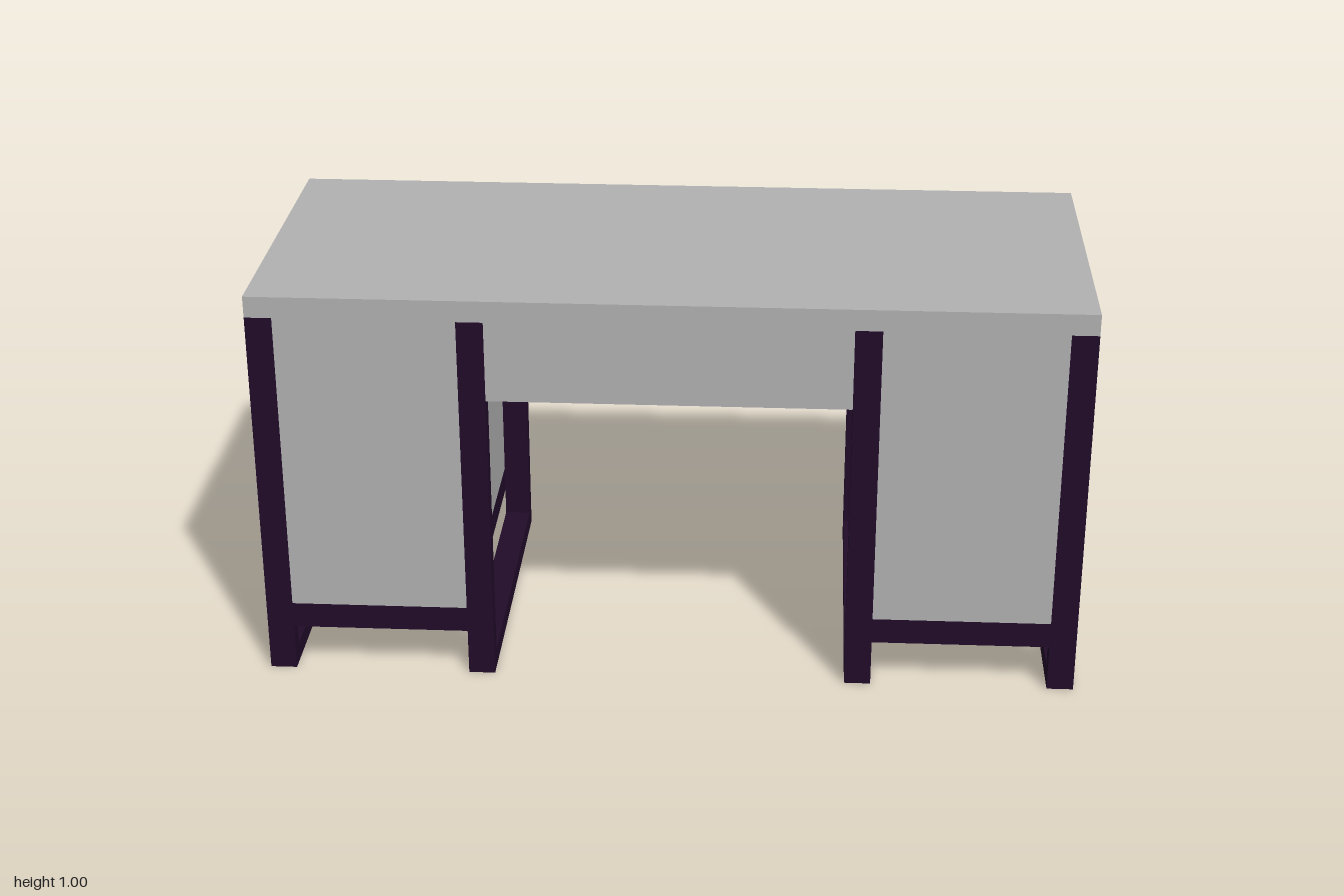
import * as THREE from 'three';

export function createModel() {
  const desk = new THREE.Group();
  desk.name = 'desk';
  const grey = new THREE.MeshStandardMaterial({ color: 0xb2b2b2 });
  grey.name = 'greyPanel';
  const dark = new THREE.MeshStandardMaterial({ color: 0x220c2a });
  dark.name = 'darkFrame';

  const D = 0.415; // half depth

  // box from minimum and maximum corners
  function box(parent, name, material, [x0, y0, z0], [x1, y1, z1]) {
    const mesh = new THREE.Mesh(new THREE.BoxGeometry(x1 - x0, y1 - y0, z1 - z0), material);
    mesh.position.set((x0 + x1) / 2, (y0 + y1) / 2, (z0 + z1) / 2);
    mesh.name = name;
    parent.add(mesh);
  }

  // upright rectangular frame with an open middle, standing at x0..x1
  function legFrame(parent, name, x0, x1) {
    const shape = new THREE.Shape([
      new THREE.Vector2(-D, 0), new THREE.Vector2(D, 0),
      new THREE.Vector2(D, 0.947), new THREE.Vector2(-D, 0.947),
    ]);
    const z = 0.373;
    shape.holes.push(new THREE.Path([
      new THREE.Vector2(-z, 0.046), new THREE.Vector2(-z, 0.884),
      new THREE.Vector2(z, 0.884), new THREE.Vector2(z, 0.046),
    ]));
    const geometry = new THREE.ExtrudeGeometry(shape, { depth: x1 - x0, bevelEnabled: false });
    geometry.rotateY(Math.PI / 2);
    const mesh = new THREE.Mesh(geometry, dark);
    mesh.position.x = x0;
    mesh.name = name;
    parent.add(mesh);
  }

  // table top and the deep box across the knee space
  box(desk, 'tableTop', grey, [-1, 0.947, -D], [1, 1, D]);
  box(desk, 'centreBox', grey, [-0.436, 0.745, -D + 0.001], [0.436, 0.947, D - 0.001]);

  // two pedestals, each a cabinet on a dark shelf held by two frames
  for (const side of [-1, 1]) {
    const pedestal = new THREE.Group();
    pedestal.name = side > 0 ? 'leftPedestal' : 'rightPedestal';
    const span = (a, b) => (side > 0 ? [a, b] : [-b, -a]);
    legFrame(pedestal, 'outerFrame', ...span(0.935, 1));
    legFrame(pedestal, 'innerFrame', ...span(0.435, 0.5));
    const [x0, x1] = span(0.5, 0.935);
    box(pedestal, 'cabinet', grey, [x0, 0.182, -D + 0.001], [x1, 0.947, D - 0.001]);
    box(pedestal, 'shelf', dark, [x0, 0.117, -D + 0.001], [x1, 0.182, D - 0.001]);
    desk.add(pedestal);
  }
  return desk;
}
